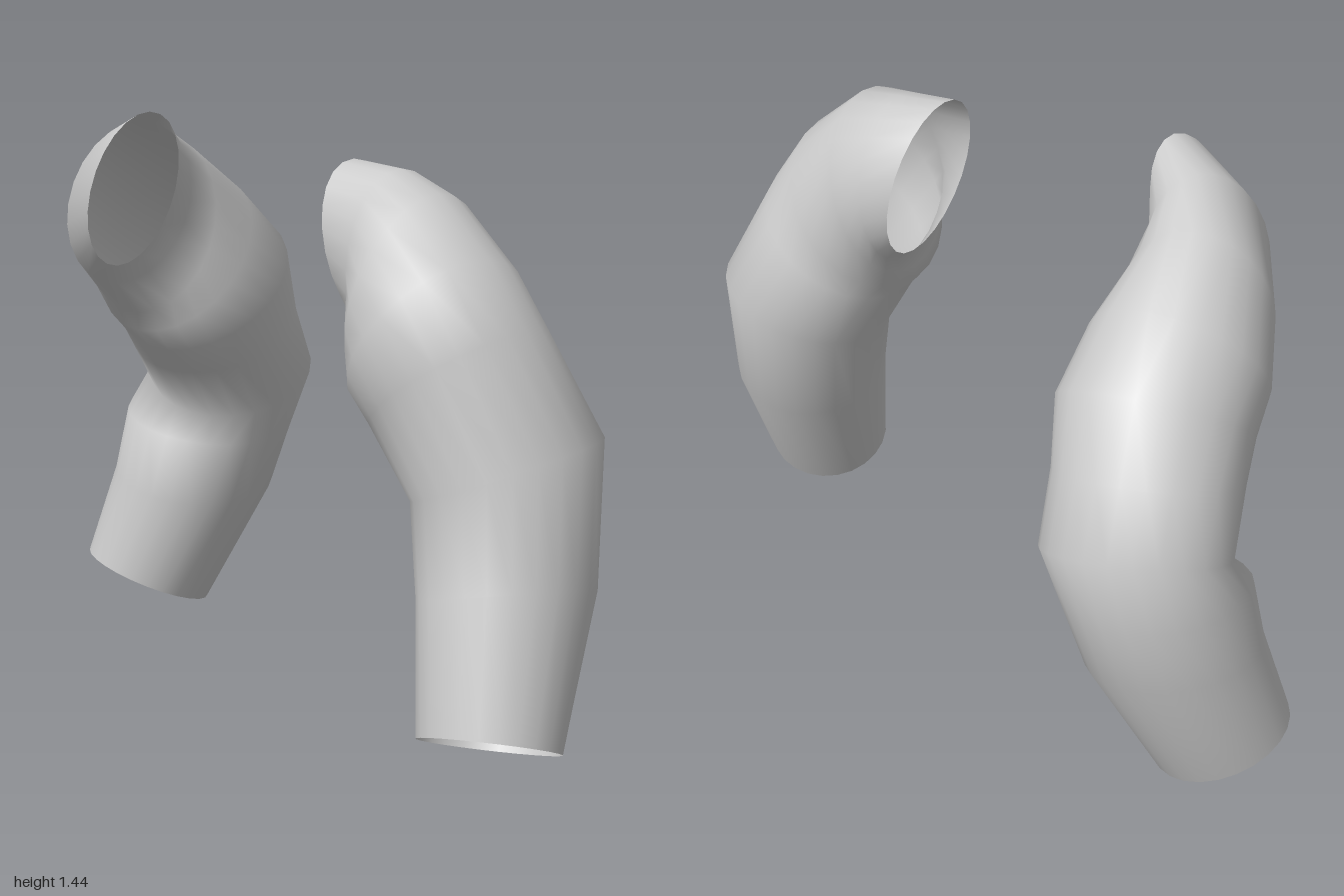
import * as THREE from 'three';

const SIDES = 24;

// Each ring: centre, half axis toward the outer/back side, half axis across.
const leftRings = [
  [[0.31, 1.14, 0.19], [-0.03, 0.21, 0.03], [-0.01, 0, 0.15]],
  [[0.4, 1.11, 0.2], [0.02, 0.222, 0.01], [0, 0, 0.18]],
  [[0.49, 1.05, 0.25], [0.08, 0.235, 0], [0, 0, 0.215]],
  [[0.57, 0.96, 0.26], [0.16, 0.185, 0], [-0.01, 0.02, 0.235]],
  [[0.64, 0.86, 0.25], [0.19, 0.13, 0], [0, 0, 0.235]],
  [[0.725, 0.66, 0.185], [0.213, 0.07, 0], [0, -0.03, 0.235]],
  [[0.78, 0.385, 0.25], [0.197, 0.04, 0], [0, 0.03, 0.22]],
  [[0.83, 0.065, 0.37], [0.17, 0.025, 0], [0, 0.055, 0.16]],
];
const rightRings = [
  [[-0.44, 1.24, 0.26], [0.075, 0.2, 0.01], [0.04, 0, -0.11]],
  [[-0.52, 1.2, 0.2], [0.03, 0.21, -0.02], [0.09, 0, -0.13]],
  [[-0.58, 1.13, 0.07], [0, 0.23, -0.05], [0.16, 0, -0.08]],
  [[-0.6, 1.05, -0.04], [0, 0.2, -0.14], [0.22, -0.02, -0.03]],
  [[-0.61, 0.96, -0.15], [0, 0.16, -0.2], [0.235, -0.04, -0.02]],
  [[-0.64, 0.84, -0.22], [0, 0.1, -0.22], [0.23, -0.05, 0]],
  [[-0.68, 0.7, -0.325], [0.01, 0.09, -0.205], [0.23, -0.06, 0]],
  [[-0.71, 0.57, -0.27], [0, 0.02, -0.23], [0.225, -0.05, 0]],
  [[-0.75, 0.4, -0.245], [0, 0.02, -0.225], [0.21, -0.05, 0]],
  [[-0.835, 0.115, -0.145], [0, -0.045, -0.165], [0.165, -0.05, 0]],
];

// Open tube skinned over a row of elliptical rings
function loft(rings) {
  const positions = [], indices = [];
  rings.forEach(([c, u, v], i) => {
    for (let j = 0; j < SIDES; j++) {
      const a = (j / SIDES) * Math.PI * 2;
      for (let k = 0; k < 3; k++) positions.push(c[k] + u[k] * Math.cos(a) + v[k] * Math.sin(a));
      if (i === rings.length - 1) continue;
      const p = i * SIDES + j, q = i * SIDES + ((j + 1) % SIDES);
      indices.push(p, q, p + SIDES, q, q + SIDES, p + SIDES);
    }
  });
  const geometry = new THREE.BufferGeometry();
  geometry.setAttribute('position', new THREE.Float32BufferAttribute(positions, 3));
  geometry.setIndex(indices);
  geometry.computeVertexNormals();
  return geometry;
}

export function createModel() {
  const cloth = new THREE.MeshStandardMaterial({ color: 0xcccccc, side: THREE.DoubleSide });
  cloth.name = 'light grey cloth';
  const group = new THREE.Group();
  group.name = 'sleeves';

  // Pair of bent sleeves, open at shoulder and cuff
  for (const [name, rings] of [['leftSleeve', leftRings], ['rightSleeve', rightRings]]) {
    const sleeve = new THREE.Mesh(loft(rings), cloth);
    sleeve.name = name;
    group.add(sleeve);
  }
  return group;
}
